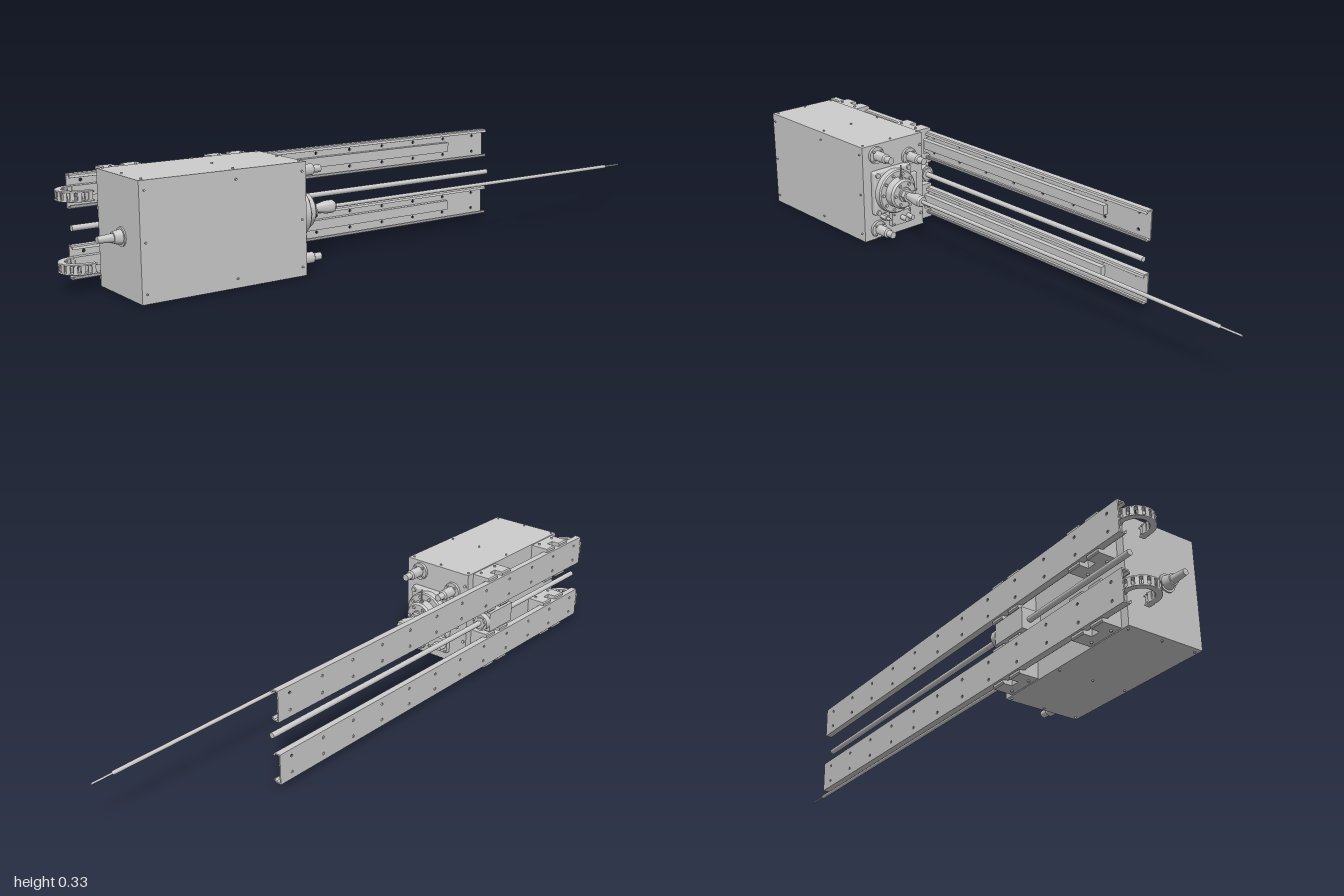
import * as THREE from 'three';
import { RoundedBoxGeometry } from 'three/addons/geometries/RoundedBoxGeometry.js';
import { toCreasedNormals } from 'three/addons/utils/BufferGeometryUtils.js';

const mat = new THREE.MeshStandardMaterial({ color: 0xcccccc, side: THREE.DoubleSide });
const MID = 0.164;                 // height of the centre axis
const AXIS_Z = 0.047;              // depth of the spindle axis
const SCREW_Z = -0.127;            // depth of the feed screw
const FACE = -0.388;               // x of the housing's working face

export function createModel() {
  const root = new THREE.Group();
  const group = (name, parent = root) => {
    const g = new THREE.Group();
    g.name = name;
    parent.add(g);
    return g;
  };
  const add = (name, geo, parent = root) => {
    const m = new THREE.Mesh(geo, mat);
    m.name = name;
    parent.add(m);
    return m;
  };
  // box given by its limits
  const box = (name, x0, x1, y0, y1, z0, z1, parent) => {
    const m = add(name, new THREE.BoxGeometry(x1 - x0, y1 - y0, z1 - z0), parent);
    m.position.set((x0 + x1) / 2, (y0 + y1) / 2, (z0 + z1) / 2);
    return m;
  };
  // cylinder or cone along x from x0 to x1
  const rod = (name, x0, x1, y, z, r0, r1 = r0, parent = root, seg = 32) => {
    const g = new THREE.CylinderGeometry(r1, r0, x1 - x0, seg).rotateZ(-Math.PI / 2);
    const m = add(name, seg < 8 ? toCreasedNormals(g, 0.5) : g, parent);
    m.position.set((x0 + x1) / 2, y, z);
    return m;
  };
  // turned part along x from [x, radius] points
  const turned = (name, pts, y, z, parent = root) => {
    const g = new THREE.LatheGeometry(pts.map(([x, r]) => new THREE.Vector2(r, x)), 40).rotateZ(-Math.PI / 2);
    const m = add(name, toCreasedNormals(g, 0.5), parent);
    m.position.set(0, y, z);
    return m;
  };
  // profile of [-z, y] points drawn out along x
  const profile = (name, pts, x0, x1, y, parent) => {
    const s = new THREE.Shape(pts.map(([a, b]) => new THREE.Vector2(a, b)));
    const g = new THREE.ExtrudeGeometry(s, { depth: x1 - x0, bevelEnabled: false }).rotateY(Math.PI / 2);
    const m = add(name, g, parent);
    m.position.set(x0, y, 0);
    return m;
  };
  const bolt = (x, y, z, axis, parent, r = 0.0045) => {
    const g = new THREE.CylinderGeometry(r, r, 0.008, 12);
    if (axis === 'x') g.rotateZ(Math.PI / 2);
    if (axis === 'z') g.rotateX(Math.PI / 2);
    add('bolt', g, parent).position.set(x, y, z);
  };

  // Main housing and its cover screws
  const housing = group('housing');
  box('housingBody', -0.889, FACE, 0.004, 0.324, -0.09, 0.152, housing);
  for (const x of [-0.875, -0.61, -0.402]) {
    for (const y of [0.03, MID, 0.298]) if (x !== -0.61 || y !== MID) bolt(x, y, 0.152, 'z', housing, 0.003);
    for (const z of [0.139, 0.029, -0.08]) for (const y of [0.004, 0.324]) bolt(x, y, z, 'y', housing, 0.003);
  }
  for (const y of [0.284, 0.238, 0.09, 0.045]) bolt(FACE, y, -0.08, 'x', housing, 0.005);

  // Spindle: square flange, stepped cover, bolt circles and nose
  const spindle = group('spindle');
  const flange = add('spindleFlange', new RoundedBoxGeometry(0.024, 0.148, 0.15, 3, 0.008), spindle);
  flange.position.set(FACE + 0.008, MID + 0.001, AXIS_Z);
  for (const sy of [-1, 1]) for (const sz of [-1, 1])
    bolt(-0.367, MID + sy * 0.063, AXIS_Z + sz * 0.063, 'x', spindle, 0.008);
  turned('spindleCover', [[-0.37, 0], [-0.37, 0.073], [-0.349, 0.073], [-0.345, 0.069], [-0.345, 0.05],
    [-0.318, 0.05], [-0.312, 0.044], [-0.312, 0.024], [-0.306, 0.024], [-0.306, 0]], MID, AXIS_Z, spindle);
  for (const [n, r, x] of [[10, 0.06, -0.344], [6, 0.036, -0.311]])
    for (let i = 0; i < n; i++) {
      const a = (i / n) * Math.PI * 2;
      bolt(x, MID + r * Math.sin(a), AXIS_Z + r * Math.cos(a), 'x', spindle, 0.005);
    }
  rod('hexNut', -0.307, -0.292, MID, AXIS_Z, 0.02, 0.02, spindle, 6);
  turned('nose', [[-0.3, 0], [-0.3, 0.011], [-0.285, 0.012], [-0.25, 0.019], [-0.228, 0.019], [-0.222, 0.015],
    [-0.222, 0]], MID, AXIS_Z, spindle);
  // Lubricating fitting above the spindle
  const stem = add('lubeFitting', new THREE.CylinderGeometry(0.002, 0.003, 0.06, 10), spindle);
  stem.position.set(-0.328, 0.228, AXIS_Z);
  const collar = add('lubeCollar', new THREE.CylinderGeometry(0.007, 0.007, 0.014, 6), spindle);
  collar.position.set(-0.328, 0.21, AXIS_Z);

  // Long working bar with a thin tip
  turned('workBar', [[-0.225, 0], [-0.225, 0.006], [0.93, 0.006], [0.935, 0.003], [1, 0.003], [1, 0]], MID, AXIS_Z);

  // Flanged connectors on the working face
  for (const [y, z] of [[0.29, 0.1], [0.257, -0.032], [0.038, 0.1]]) {
    const c = group('connector');
    turned('connectorBody', [[-0.39, 0], [-0.39, 0.028], [-0.379, 0.028], [-0.379, 0.016], [-0.335, 0.016],
      [-0.331, 0.011], [-0.308, 0.011], [-0.308, 0]], y, z, c);
    for (const sy of [-1, 1]) for (const sz of [-1, 1]) bolt(-0.377, y + sy * 0.015, z + sz * 0.015, 'x', c, 0.0035);
  }

  // Socket block, side plate and plug on the working face
  const socket = group('socketBlock');
  box('socketPlate', -0.39, -0.372, 0.036, 0.082, -0.025, 0.052, socket);
  for (const z of [0.012, -0.013]) rod('socket', -0.374, -0.345, 0.059, z, 0.008, 0.008, socket);
  for (const y of [0.042, 0.076]) for (const z of [0.046, -0.019]) bolt(-0.37, y, z, 'x', socket, 0.003);
  const plate = add('sidePlate', new RoundedBoxGeometry(0.012, 0.068, 0.034, 2, 0.004), root);
  plate.position.set(FACE + 0.004, MID, -0.042);
  rod('plug', -0.39, -0.36, 0.076, 0.081, 0.01, 0.01, root, 6);
  rod('plugTip', -0.362, -0.345, 0.076, 0.081, 0.005);

  // Stepped inlet on the opposite end of the housing
  turned('inlet', [[-0.885, 0], [-0.885, 0.026], [-0.893, 0.026], [-0.893, 0.02], [-0.915, 0.016],
    [-0.915, 0.012], [-0.958, 0.009], [-0.958, 0]].reverse(), MID, AXIS_Z);

  // Feed screw, nut and nut housing
  const feed = group('feedScrew');
  rod('screw', -0.95, 0.535, MID, SCREW_Z, 0.0085, 0.0085, feed);
  rod('nut', -0.54, -0.405, MID, SCREW_Z, 0.019, 0.019, feed);
  rod('nutFlange', -0.43, -0.41, MID, SCREW_Z, 0.027, 0.027, feed);
  for (let i = 0; i < 6; i++) {
    const a = (i / 6) * Math.PI * 2;
    bolt(-0.408, MID + 0.019 * Math.sin(a), SCREW_Z + 0.019 * Math.cos(a), 'x', feed, 0.004);
  }
  box('nutHousing', -0.55, -0.43, 0.132, 0.196, -0.152, -0.089, feed);

  // Rail web with rows of holes
  const web = new THREE.Shape([[-0.948, -0.047], [0.535, -0.047], [0.535, 0.047], [-0.948, 0.047]]
    .map(([x, y]) => new THREE.Vector2(x, y)));
  for (let i = 0; i < 12; i++)
    for (const y of [-0.026, 0.026]) {
      const hole = new THREE.Path();
      hole.absarc(0.49 - i * 0.127, y, 0.0045, 0, Math.PI * 2, true);
      web.holes.push(hole);
    }
  const webGeo = new THREE.ExtrudeGeometry(web, { depth: 0.004, bevelEnabled: false, curveSegments: 5 });

  // Two rail assemblies, one above and one below the screw
  for (const [side, s] of [['upper', 1], ['lower', -1]]) {
    const y = MID + s * 0.097;
    const rail = group(side + 'Rail');
    add('railWeb', webGeo, rail).position.set(0, y, -0.155);
    for (const k of [-1, 1]) {
      profile('railLip', [[0.153, 0.047], [0.153, 0.043], [0.137, 0.043], [0.133, 0.036], [0.129, 0.037],
        [0.131, 0.044], [0.135, 0.047]].map(([a, b]) => [a, b * k]), -0.948, 0.535, y, rail);
    }
    box('innerBar', -0.94, 0.372, y - 0.015, y + 0.015, -0.152, -0.134, rail);

    // Carriages gripping the rail
    for (const [x0, x1] of [[-0.864, -0.746], [-0.532, -0.415]]) {
      const car = group('carriage', rail);
      box('carriageBase', x0, x1, y - 0.06, y + 0.06, -0.122, -0.088, car);
      box('carriageCentre', x0 + 0.03, x1 - 0.03, y - 0.015, y + 0.015, -0.135, -0.12, car);
      for (const k of [-1, 1]) {
        const grip = [[0.12, 0.06], [0.148, 0.06], [0.151, 0.056], [0.151, 0.049], [0.136, 0.048], [0.13, 0.044],
          [0.13, 0.035], [0.136, 0.034], [0.144, 0.04], [0.148, 0.036], [0.138, 0.026], [0.12, 0.026]];
        for (const [a, b] of [[x0, x0 + 0.045], [x1 - 0.045, x1]])
          profile('grip', grip.map(([p, q]) => [p, q * k]), a, b, y, car);
        for (const x of [x0 + 0.022, x1 - 0.022]) bolt(x, y + k * 0.06, -0.105, 'y', car, 0.004);
      }
    }

    // Curled cable chain at the rail's end
    const chain = group('cableChain', rail);
    const link = (x, z, turn) => {
      const l = group('link', chain);
      for (const k of [-1, 1]) {
        const cheek = add('linkCheek', new RoundedBoxGeometry(0.021, 0.005, 0.018, 2, 0.002), l);
        cheek.position.y = k * 0.012;
      }
      for (const k of [-1, 1])
        add('linkBar', new THREE.BoxGeometry(0.011, 0.022, 0.003), l).position.z = k * 0.007;
      l.position.set(x, y, z);
      l.rotation.y = turn;
    };
    for (let i = 0; i < 3; i++) link(-0.91 - i * 0.017, -0.146, 0);
    for (let i = 0; i <= 9; i++) {
      const a = Math.PI / 2 + (i / 9) * Math.PI * 1.05;
      link(-0.945 + 0.045 * Math.cos(a), -0.1 - 0.045 * Math.sin(a), a - Math.PI / 2);
    }
    link(-0.927, -0.053, 0);
  }
  return root;
}
